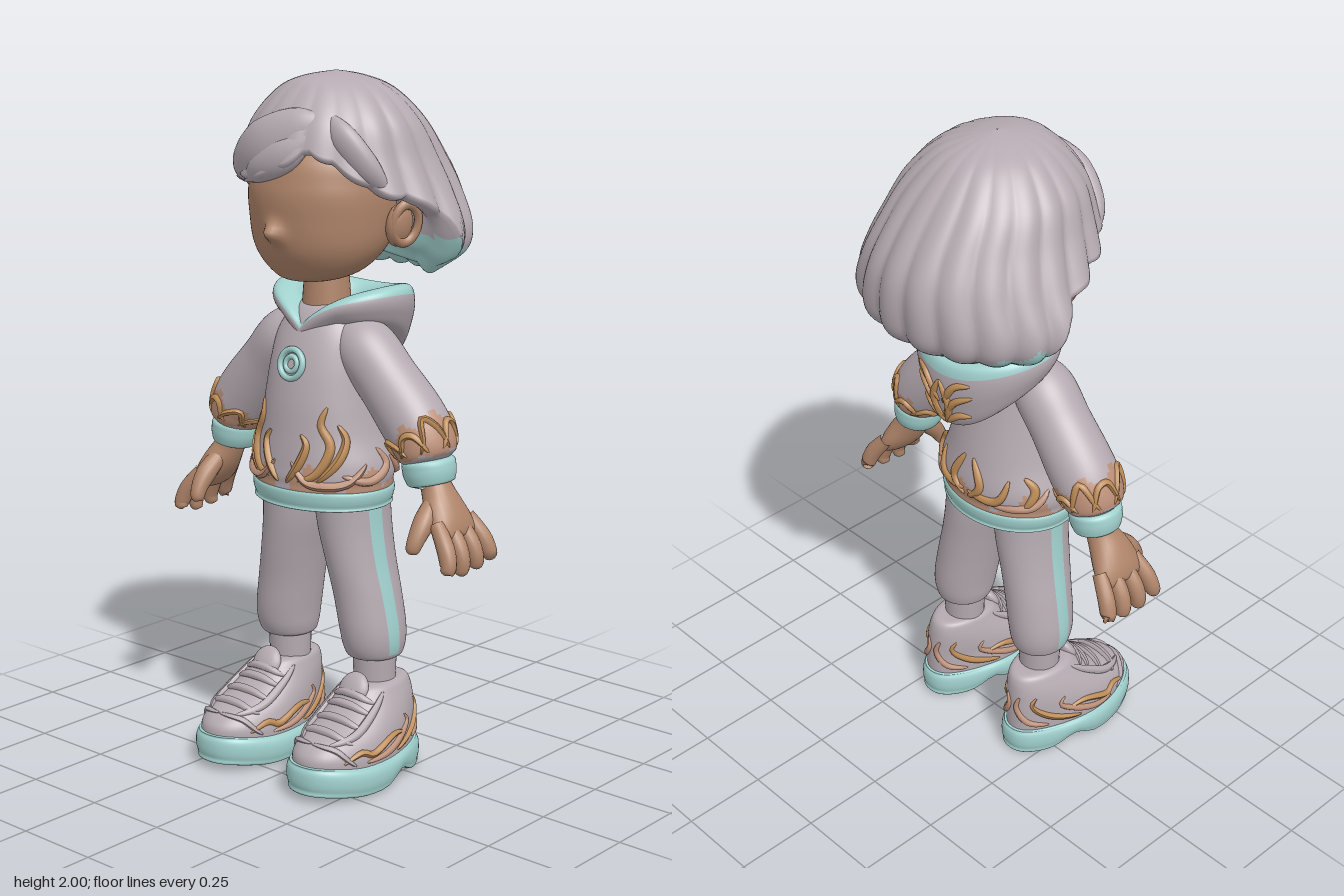
import * as THREE from 'three';

const mat = (name, color) => Object.assign(new THREE.MeshStandardMaterial({ color }), { name });
const { sin, cos, abs, exp, PI, min, max, floor, sign } = Math;
const rad = d => d * PI / 180;
const smooth = THREE.MathUtils.smoothstep;

// Smooth interpolation between the rows of a small table
function sample(T, s) {
  const n = T.length, i = max(0, min(floor(s), n - 2)), f = s - i;
  const [a, b, c, d] = [T[max(i - 1, 0)], T[i], T[i + 1], T[min(i + 2, n - 1)]];
  return b.map((_, k) => 0.5 * (2 * b[k] + (c[k] - a[k]) * f + (2 * a[k] - 5 * b[k] + 4 * c[k] - d[k]) * f * f
    + (3 * b[k] - a[k] - 3 * c[k] + d[k]) * f * f * f));
}

// Row position at which a table of stations reaches height y
function rowAt(T, y) {
  const up = T[T.length - 1][1] > T[0][1];
  let lo = 0, hi = T.length - 1;
  for (let i = 0; i < 22; i++) {
    const m = (lo + hi) / 2;
    if ((sample(T, m)[1] < y) === up) lo = m; else hi = m;
  }
  return lo;
}

// Closed-around surface f(angle, s); pick(angle, s, point) chooses the material slot
function surf(f, nu, nv, smax, pick) {
  const pos = [], slots = [[], []];
  for (let j = 0; j <= nv; j++) for (let i = 0; i < nu; i++) pos.push(...f(-PI + 2 * PI * i / nu, smax * j / nv));
  for (let j = 0; j < nv; j++) for (let i = 0; i < nu; i++) {
    const a = j * nu + i, b = j * nu + (i + 1) % nu, c = a + nu, d = b + nu;
    const ang = -PI + 2 * PI * (i + 0.5) / nu, s = smax * (j + 0.5) / nv;
    slots[pick ? pick(ang, s, f(ang, s)) : 0].push(a, b, c, b, d, c);
  }
  const g = new THREE.BufferGeometry();
  g.setAttribute('position', new THREE.Float32BufferAttribute(pos, 3));
  g.setIndex(slots.flat());
  if (pick) {
    g.addGroup(0, slots[0].length, 0);
    g.addGroup(slots[0].length, slots[1].length, 1);
  }
  g.computeVertexNormals();
  return g;
}

// Elliptical sections along stations [x, y, z, r1, r2]; flat keeps them level
function loft(T, flat = true, pw = 1) {
  const up = new THREE.Vector3(0, 1, 0);
  return (a, s) => {
    const [x, y, z, r1, r2] = sample(T, s), e = 0.05;
    const p = sample(T, max(0, s - e)), q = sample(T, min(T.length - 1, s + e));
    const t = flat ? up : new THREE.Vector3(q[0] - p[0], q[1] - p[1], q[2] - p[2]).normalize();
    const n2 = new THREE.Vector3(0, 0, 1).addScaledVector(t, -t.z).normalize();
    const n1 = new THREE.Vector3().crossVectors(t, n2);
    const k1 = max(r1, 0.0005) * sign(sin(a)) * abs(sin(a)) ** pw, k2 = max(r2, 0.0005) * sign(cos(a)) * abs(cos(a)) ** pw;
    return [x + n1.x * k1 + n2.x * k2, y + n1.y * k1 + n2.y * k2, z + n1.z * k1 + n2.z * k2];
  };
}
const solid = (T, flat, nu = 32, per = 6) => surf(loft(T, flat), nu, (T.length - 1) * per, T.length - 1);

// Tapered cord hugging a surface f through points [degrees, height]
function vine(f, pts, r) {
  const path = [];
  for (let i = 0; i <= 12; i++) path.push(new THREE.Vector3(...f(...sample(pts, (pts.length - 1) * i / 12))));
  const curve = new THREE.CatmullRomCurve3(path), g = new THREE.TubeGeometry(curve, 20, r, 6), P = g.attributes.position;
  for (let i = 0; i <= 20; i++) {
    const c = curve.getPointAt(i / 20), k = 0.2 + 0.8 * max(0, sin(PI * i / 20)) ** 0.6;
    for (let j = 0; j < 7; j++) {
      const v = new THREE.Vector3().fromBufferAttribute(P, i * 7 + j).sub(c).multiplyScalar(k).add(c);
      P.setXYZ(i * 7 + j, v.x, v.y, v.z);
    }
  }
  g.computeVertexNormals();
  return g;
}

function mirrored(geo) {
  const g = geo.clone().scale(-1, 1, 1), I = g.index;
  for (let i = 0; i < I.count; i += 3) {
    const t = I.getX(i); I.setX(i, I.getX(i + 1)); I.setX(i + 1, t);
  }
  return g;
}

export function createModel() {
  const root = new THREE.Group();
  root.name = 'child';
  const grey = mat('mauve grey', 0xb5aab1), teal = mat('pale teal', 0xa0d0cd), skin = mat('skin', 0xb0856a),
    gold = mat('gold trim', 0xbf8d58), tan = mat('tan trim', 0xbd9078);
  const add = (name, geo, m) => { const o = new THREE.Mesh(geo, m); o.name = name; root.add(o); };
  const pair = (name, geo, m) => { add(name + 'Left', geo, m); add(name + 'Right', mirrored(geo), m); };

  // Head with a small moulded nose, ears, neck
  const skull = loft([[0, 1.43, 0.12, 0, 0], [0, 1.432, 0.12, 0.07, 0.065], [0, 1.46, 0.095, 0.14, 0.12], [0, 1.52, 0.075, 0.19, 0.175],
    [0, 1.60, 0.06, 0.21, 0.205], [0, 1.70, 0.055, 0.212, 0.212], [0, 1.80, 0.04, 0.18, 0.18], [0, 1.88, 0.03, 0, 0]]);
  add('head', surf((a, s) => {
    const [x, y, z] = skull(a, s);
    return [x, y, z + (z > 0.1 ? 0.042 * exp(-(x * x + (y - 1.572) ** 2) / 0.0007) : 0)];
  }, 90, 56, 7), skin);
  pair('ear', new THREE.SphereGeometry(1, 24, 16).scale(0.03, 0.062, 0.045).rotateZ(-0.15).translate(0.225, 1.59, 0.005), skin);
  pair('earRim', new THREE.TorusGeometry(0.043, 0.013, 8, 28).scale(0.9, 1.25, 1).rotateY(PI / 2 - 0.35).rotateZ(-0.15).translate(0.245, 1.595, 0), skin);
  add('neck', new THREE.CylinderGeometry(0.06, 0.075, 0.2, 28).translate(0, 1.39, 0.05), skin);

  // Hair shell: lobed outside, lip folded inwards to the head
  const H = [[0, 2.0, 0.01, 0.002, 0.002], [0, 1.985, 0.02, 0.08, 0.10], [0, 1.95, 0.01, 0.16, 0.17], [0, 1.87, 0, 0.235, 0.245],
    [0, 1.77, -0.02, 0.275, 0.30], [0, 1.68, -0.035, 0.315, 0.325], [0, 1.58, -0.04, 0.36, 0.325], [0, 1.51, -0.04, 0.35, 0.305],
    [0, 1.46, -0.03, 0.29, 0.25], [0, 1.43, -0.02, 0.24, 0.20]];
  const edge = [[-180, 1.45], [-112, 1.455], [-104, 1.5], [-96, 1.6], [-82, 1.66], [-60, 1.7], [-40, 1.735], [-15, 1.715], [8, 1.76],
    [25, 1.8], [40, 1.76], [60, 1.69], [82, 1.66], [96, 1.6], [104, 1.5], [112, 1.455], [181, 1.45]];
  const edgeY = d => {
    const i = max(1, edge.findIndex(e => e[0] > d)), [p, q] = [edge[i - 1], edge[i]];
    return p[1] + (q[1] - p[1]) * (d - p[0]) / (q[0] - p[0]);
  };
  const hair = (a, s) => {
    const lobe = abs(cos(10 * a + 1.2 * min(s, 1)));
    const end = rowAt(H, edgeY(a * 180 / PI) - 0.012 * lobe + 0.008);
    let [, y, z, rx, rz] = sample(H, min(s, 1) * end);
    const k = 1 + (0.015 + 0.055 * min(s, 1)) * (lobe - 0.7) * (0.35 + 0.65 * smooth(abs(a), 0.6, 1.6));
    rx *= k; rz *= k;
    const w = max(0, s - 1) / 0.3;
    rx += (0.15 - rx) * w; rz += (0.14 - rz) * w; z += (0.02 - z) * w;
    y += w * 0.05 - 0.02 * sin(PI * min(1, w * 2.5));
    return [rx * sin(a), y, z + rz * cos(a)];
  };
  // The rows run downwards, so the angle runs backwards to face outwards
  add('hair', surf((a, s) => hair(-a, s), 200, 65, 1.3, (a, s, p) => {
    const side = exp(-(((abs(a) - 1.95) / 0.5) ** 2));
    return abs(a) > 1.5 && p[1] < (s > 1 ? 1.56 : 1.472 + 0.055 * side + 0.016 * sin(20 * a)) ? 1 : 0;
  }), [grey, teal]);
  const locks = [
    [[0.12, 1.88, 0.18, 0.01, 0.01], [0.05, 1.855, 0.215, 0.06, 0.035], [-0.05, 1.80, 0.24, 0.08, 0.045], [-0.15, 1.745, 0.21, 0.055, 0.04], [-0.21, 1.70, 0.175, 0, 0]],
    [[0.11, 1.85, 0.21, 0.01, 0.01], [0.03, 1.79, 0.25, 0.05, 0.03], [-0.06, 1.745, 0.255, 0.042, 0.03], [-0.14, 1.70, 0.235, 0, 0]],
    [[0.12, 1.89, 0.17, 0.01, 0.01], [0.17, 1.83, 0.175, 0.045, 0.03], [0.23, 1.74, 0.135, 0.04, 0.03], [0.27, 1.665, 0.08, 0, 0]]];
  locks.forEach((T, i) => add('fringeLock' + (i + 1), solid(T, false, 24), grey));

  // Hoodie body with tan trim above a teal hem
  const B = [[0, 0.83, 0.065, 0, 0], [0, 0.832, 0.065, 0.19, 0.155], [0, 0.87, 0.065, 0.218, 0.175], [0, 0.92, 0.062, 0.218, 0.176], [0, 1.0, 0.065, 0.19, 0.165],
    [0, 1.1, 0.07, 0.17, 0.15], [0, 1.2, 0.07, 0.155, 0.13], [0, 1.28, 0.065, 0.14, 0.105], [0, 1.34, 0.06, 0.10, 0.075], [0, 1.37, 0.05, 0.06, 0.05]];
  const body = loft(B), onBody = (d, y) => body(rad(d), rowAt(B, y));
  add('hoodieBody', surf(body, 100, 63, 9, (a, s, p) =>
    abs(a) > 0.12 && p[1] < 0.888 + 0.03 * sin(7 * abs(a) - 1) + 0.012 * sin(19 * a) ? 1 : 0), [grey, tan]);
  add('hoodieHem', solid([[0, 0.81, 0.065, 0, 0], [0, 0.795, 0.065, 0.195, 0.16], [0, 0.805, 0.065, 0.212, 0.172], [0, 0.83, 0.065, 0.22, 0.178],
    [0, 0.85, 0.065, 0.216, 0.175], [0, 0.856, 0.065, 0.19, 0.15]], true, 64, 4), teal);
  [[[14, 0.88], [28, 0.90], [43, 0.98], [36, 1.04], [43, 1.09]], [[8, 0.93], [20, 0.88], [36, 0.87], [55, 0.88], [72, 0.93]],
    [[30, 0.88], [50, 0.95], [58, 1.0], [52, 1.04]], [[4, 0.87], [14, 0.92], [22, 0.98], [17, 1.01]], [[50, 0.9], [75, 0.88], [95, 0.92], [88, 0.97]],
    [[178, 0.88], [166, 0.93], [175, 1.01]], [[178, 0.9], [152, 0.9], [140, 0.97]], [[155, 0.88], [122, 0.89], [105, 0.94]], [[130, 0.88], [118, 0.94], [126, 0.98]]
  ].forEach((p, i) => pair('bodyFlame' + (i + 1), vine(onBody, p, 0.014), i % 3 === 1 ? tan : gold));

  // Round chest badge
  const badge = (name, g) => add(name, g.rotateX(-0.2).translate(0, 1.2, 0.199), teal);
  badge('badgeRing', new THREE.TorusGeometry(0.041, 0.0095, 8, 32));
  badge('badgeInnerRing', new THREE.TorusGeometry(0.021, 0.008, 8, 24));

  // Hood lying on the shoulders, with teal rim meeting in a V
  const P = [[0.55, 0], [0.88, 0.03], [1.02, 0.4], [1.06, 0.75], [1.0, 1], [0.82, 1.03], [0.65, 0.85], [0.45, 0.3]];
  const hood = (a, s) => {
    const [k, m] = sample(P, s), back = (1 - cos(a)) / 2;
    const rim = 1.415 - 0.11 * exp(-abs(a) / 0.55) - 0.04 * back ** 4;
    const low = min(rim - 0.065, 1.31 - 0.15 * back ** 3);
    return [0.2 * k * sin(a), low + (rim - low) * m, -0.022 + 0.178 * k * cos(a)];
  };
  add('hood', surf(hood, 80, 42, 7, (a, s) => s > 3.3 ? 1 : 0), [grey, teal]);
  const onHood = (d, s) => hood(rad(d), s);
  [[[180, 1.0], [172, 2.0], [180, 3.0]], [[179, 1.4], [165, 2.2], [150, 2.4]], [[179, 1.2], [163, 1.6], [152, 1.5]], [[178, 2], [165, 2.9], [152, 3.0]]]
    .forEach((p, i) => pair('hoodLeaf' + (i + 1), vine(onHood, p, 0.012), gold));

  // Sleeves with trim, cuffs
  const S = [[0.07, 1.29, 0.05, 0.05, 0.05], [0.14, 1.245, 0.05, 0.085, 0.088], [0.22, 1.16, 0.045, 0.088, 0.09], [0.30, 1.07, 0.04, 0.094, 0.096],
    [0.345, 1.01, 0.04, 0.09, 0.094], [0.365, 0.96, 0.04, 0.07, 0.076], [0.367, 0.95, 0.04, 0, 0]];
  const sleeve = loft(S, false), onSleeve = (d, s) => sleeve(rad(d), s);
  pair('sleeve', surf(sleeve, 48, 54, 6, (a, s) => s > 3.6 + 0.25 * sin(6 * a) && s < 4.8 + 0.1 * sin(5 * a + 1) ? 1 : 0), [grey, tan]);
  for (let i = 0; i < 8; i++) {
    const d = i * 45;
    pair('sleeveCurl' + (i + 1), vine(onSleeve, [[d, 4.6], [d + 18, 3.9], [d + 38, 3.5 + 0.3 * (i % 2)], [d + 50, 4.2], [d + 60, 4.6]], 0.01), gold);
  }
  pair('cuff', solid([[0.362, 0.965, 0.04, 0, 0], [0.363, 0.96, 0.04, 0.064, 0.07], [0.367, 0.935, 0.04, 0.074, 0.078], [0.373, 0.905, 0.04, 0.069, 0.073],
    [0.376, 0.89, 0.04, 0.055, 0.06], [0.376, 0.892, 0.04, 0, 0]], false, 32, 4), teal);

  // Hands
  pair('palm', solid([[0.375, 0.93, 0.04, 0.038, 0.042], [0.395, 0.88, 0.04, 0.042, 0.048], [0.425, 0.83, 0.045, 0.046, 0.068], [0.455, 0.785, 0.045, 0.04, 0.08],
    [0.475, 0.755, 0.045, 0.024, 0.07], [0.48, 0.75, 0.045, 0, 0]], false, 24, 5), skin);
  [-0.025, 0.02, 0.065, 0.108].forEach((z, i) => {
    const dz = (i - 1.5) * 0.01, low = [0.69, 0.665, 0.66, 0.675][i];
    pair('finger' + (i + 1), solid([[0.45, 0.80, z, 0.022, 0.02], [0.492, 0.745, z + dz, 0.026, 0.024], [0.511, 0.70, z + dz * 1.6, 0.024, 0.022],
      [0.508, low + 0.008, z + dz * 2, 0.018, 0.017], [0.506, low, z + dz * 2, 0, 0]], false, 14, 4), skin);
  });
  pair('thumb', solid([[0.405, 0.86, 0.06, 0.022, 0.022], [0.415, 0.81, 0.115, 0.03, 0.03], [0.416, 0.765, 0.152, 0.025, 0.025],
    [0.412, 0.73, 0.168, 0.018, 0.018], [0.411, 0.722, 0.17, 0, 0]], false, 16, 4), skin);

  // Trousers with teal side stripe, ankles
  const L = [[0.165, 0.345, 0.03, 0, 0], [0.165, 0.345, 0.03, 0.066, 0.07], [0.166, 0.37, 0.033, 0.084, 0.092], [0.163, 0.43, 0.036, 0.09, 0.104],
    [0.146, 0.53, 0.04, 0.09, 0.108], [0.125, 0.63, 0.046, 0.09, 0.114], [0.106, 0.73, 0.05, 0.095, 0.12], [0.097, 0.84, 0.055, 0.098, 0.125]];
  pair('trouserLeg', surf(loft(L), 60, 35, 7, (a, s) => s > 1.7 && abs(a - PI / 2 + 0.1) < 0.25 ? 1 : 0), [grey, teal]);
  pair('ankle', new THREE.CylinderGeometry(0.064, 0.06, 0.12, 24).translate(0.165, 0.30, 0.03), grey);

  // Shoe soles, arched underneath and lifted at the toe
  const heel = ([x, y, z]) => [0.18 + (x - 0.18) * (0.8 + 0.2 * smooth(z, -0.1, 0.16)), y + 0.018 * smooth(z, 0.2, 0.37) * (y < 0.2 ? 1 : 0), z];
  const soleBase = loft([[0.18, 0, 0.13, 0, 0], [0.18, 0, 0.13, 0.115, 0.215], [0.18, 0.02, 0.13, 0.134, 0.238], [0.18, 0.055, 0.13, 0.138, 0.242],
    [0.18, 0.08, 0.13, 0.13, 0.235], [0.18, 0.088, 0.13, 0.11, 0.21], [0.18, 0.088, 0.13, 0, 0]], true, 0.88);
  pair('sole', surf((a, s) => {
    const [x, y, z] = heel(soleBase(a, s));
    return [x, y + 0.035 * max(0, 1 - y / 0.09) * exp(-(((z - 0.06) / 0.05) ** 2)), z];
  }, 56, 36, 6), teal);

  // Shoe uppers, tongue, laces, trim
  const U = [[0.18, 0.07, 0.13, 0.122, 0.228], [0.18, 0.11, 0.128, 0.123, 0.226], [0.18, 0.15, 0.108, 0.118, 0.205], [0.178, 0.185, 0.075, 0.112, 0.17],
    [0.175, 0.22, 0.047, 0.102, 0.14], [0.172, 0.25, 0.033, 0.09, 0.122], [0.17, 0.27, 0.028, 0.08, 0.108], [0.168, 0.278, 0.028, 0.066, 0.09], [0.168, 0.279, 0.028, 0.05, 0.05]];
  const upperBase = loft(U, true, 0.92), upper = (a, s) => heel(upperBase(a, s)), onShoe = (d, y) => upper(rad(d), rowAt(U, y));
  pair('shoeUpper', surf(upper, 56, 40, 8), grey);
  pair('tongue', new THREE.SphereGeometry(1, 20, 14).scale(0.05, 0.05, 0.022).rotateX(-0.5).translate(0.17, 0.265, 0.128), grey);
  [0.165, 0.195, 0.225, 0.25].forEach((y, i) =>
    pair('lace' + (i + 1), vine(onShoe, [[-48, y - 0.012], [-20, y + 0.004], [0, y + 0.008], [20, y + 0.004], [48, y - 0.012]], 0.014), grey));
  [-1, 1].forEach((k, i) => {
    pair('eyeletStrip' + (i + 1), vine(onShoe, [[k * 22, 0.145], [k * 42, 0.17], [k * 50, 0.22], [k * 62, 0.262]], 0.014), grey);
    pair('toeSeam' + (i + 1), vine(onShoe, [[0, 0.145], [k * 35, 0.135], [k * 60, 0.095]], 0.009), grey);
    [[[48, 0.10], [62, 0.13], [75, 0.12], [92, 0.15], [110, 0.14]], [[70, 0.10], [90, 0.11], [112, 0.16], [102, 0.19]],
      [[100, 0.10], [125, 0.13], [145, 0.18], [135, 0.21]], [[130, 0.10], [155, 0.12], [172, 0.17], [165, 0.21]]]
      .forEach((p, j) => pair('shoeFlame' + (i * 4 + j + 1), vine(onShoe, p.map(([d, y]) => [k * d, y]), 0.011), j % 2 ? tan : gold));
  });
  return root;
}
